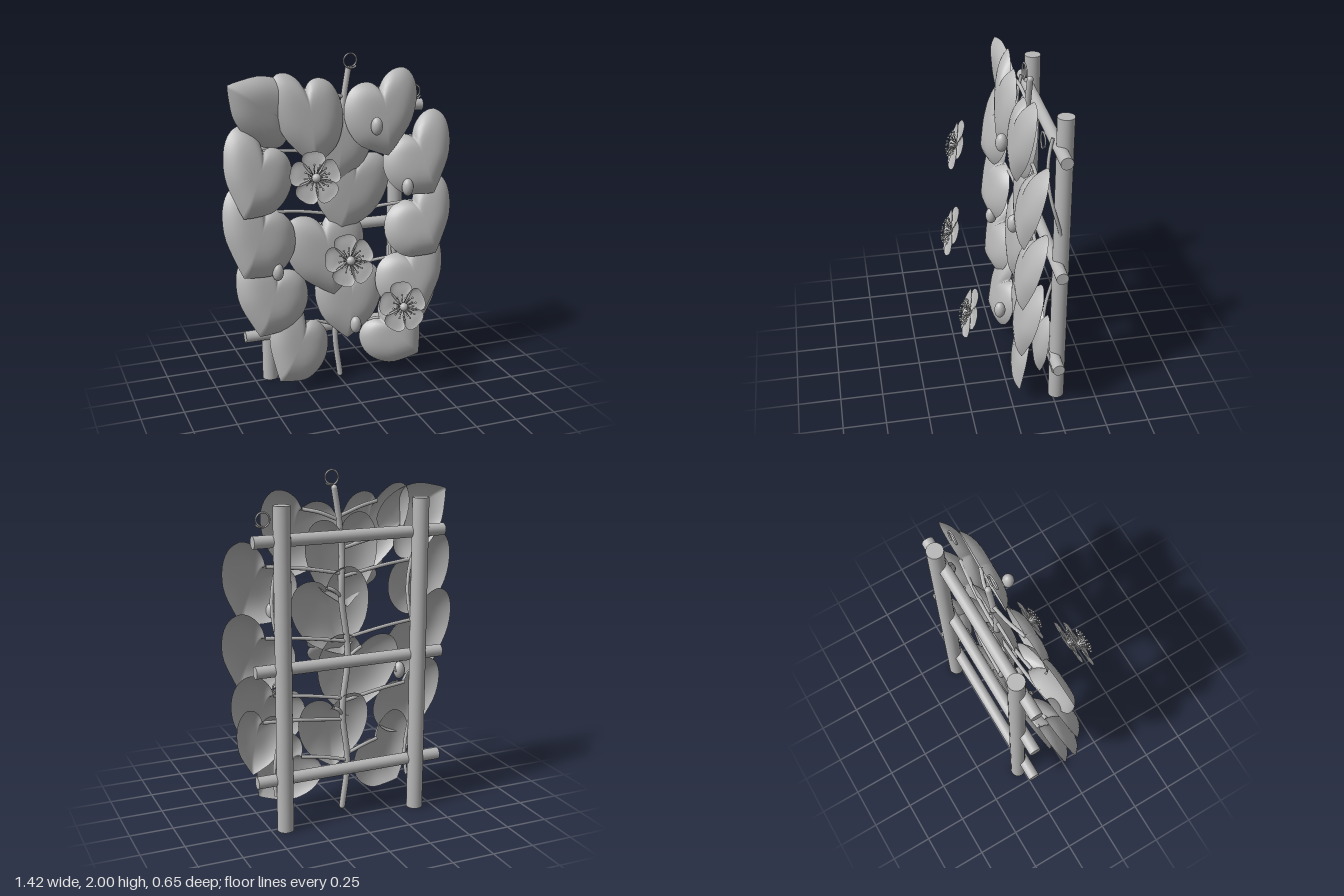
import * as THREE from 'three';

const grey = new THREE.MeshStandardMaterial({ color: 0xb8b8b8, side: THREE.DoubleSide });
grey.name = 'plain grey';
const V = (x, y, z) => new THREE.Vector3(x, y, z);

function add(parent, name, geometry) {
  const mesh = new THREE.Mesh(geometry, grey);
  mesh.name = name;
  parent.add(mesh);
  return mesh;
}

function tube(parent, name, points, radius, segments = 24) {
  return add(parent, name, new THREE.TubeGeometry(new THREE.CatmullRomCurve3(points), segments, radius, 8));
}

// Domed blade: rings shrink from a mirrored half outline to a centre on the midrib
function blade(half, centreY, width, length, height, bend) {
  const right = new THREE.SplineCurve(half.map(([x, y]) => new THREE.Vector2(x, y))).getPoints(26);
  const left = right.slice(1, -1).reverse().map(p => new THREE.Vector2(-p.x, p.y));
  const rim = [...right, ...left];
  const n = rim.length, rings = 9, pos = [0, centreY * length, height + bend(centreY)], index = [];
  for (let i = 1; i <= rings; i++) {
    const t = Math.sin(i / rings * Math.PI / 2);
    for (const p of rim) {
      const y = centreY + (p.y - centreY) * t;
      pos.push(p.x * t * width, y * length, height * (1 - t ** 4) + bend(y));
    }
  }
  for (let j = 0; j < n; j++) {
    const k = (j + 1) % n;
    index.push(0, 1 + k, 1 + j);
    for (let i = 0; i < rings - 1; i++) {
      const a = 1 + i * n + j, b = 1 + i * n + k;
      index.push(a, b, a + n, b, b + n, a + n);
    }
  }
  const g = new THREE.BufferGeometry();
  g.setAttribute('position', new THREE.Float32BufferAttribute(pos, 3));
  g.setIndex(index);
  g.computeVertexNormals();
  return g;
}

const heart = [[0, 0], [0.09, 0.12], [0.24, 0.18], [0.4, 0.12], [0.5, -0.1],
  [0.49, -0.38], [0.37, -0.68], [0.14, -0.91], [0, -1.02]];
const petalOutline = [[0, 0], [0.12, 0.12], [0.36, 0.4], [0.5, 0.68], [0.42, 0.9], [0.2, 1], [0, 1.01]];

// Heart leaf hung from its notch, with the tip given in space; skew lifts one lobe
function leaf(parent, notch, tip, width, height, skew) {
  const down = tip.clone().sub(notch);
  const length = down.length();
  const y = down.clone().normalize().negate();
  const x = y.clone().cross(V(0, 0, 1)).normalize();
  const z = x.clone().cross(y);
  const mesh = add(parent, 'leaf', blade(heart, -0.36, width, length, height, () => 0));
  mesh.applyMatrix4(new THREE.Matrix4().makeBasis(x, y, z));
  mesh.geometry.applyMatrix4(new THREE.Matrix4().set(1, 0, 0, 0, skew, 1, 0, 0, 0, 0, 1, 0, 0, 0, 0, 1));
  mesh.position.copy(notch);
}

function flower(parent, x, y, z, turn) {
  const f = new THREE.Group();
  f.name = 'flower';
  const petal = blade(petalOutline, 0.6, 0.138, 0.145, -0.012,
    v => 0.03 * v * v - 0.03 * v ** 4);
  for (let i = 0; i < 5; i++) {
    const p = add(f, 'petal', petal);
    p.rotation.z = turn + i * Math.PI * 2 / 5;
    p.position.z = (i % 2) * 0.003;
  }
  // stamens in two rings around the pistil
  const dot = new THREE.SphereGeometry(0.0065, 8, 6);
  for (let i = 0; i < 26; i++) {
    const a = i * Math.PI * 2 / 26, r = i % 2 ? 0.072 : 0.05, h = i % 2 ? 0.035 : 0.045;
    const end = V(Math.cos(a) * r, Math.sin(a) * r, h);
    tube(f, 'filament', [V(Math.cos(a) * 0.012, Math.sin(a) * 0.012, 0), end.clone().multiplyScalar(0.6), end], 0.002, 4);
    add(f, 'anther', dot).position.copy(end);
  }
  add(f, 'pistil', new THREE.SphereGeometry(0.026, 16, 12)).position.z = 0.018;
  f.position.set(x, y, z);
  f.rotation.x = -0.33;
  parent.add(f);
}

// Small open coil at the end of a shoot
function curl(parent, x, y, z, radius, start) {
  const points = [];
  for (let i = 0; i <= 20; i++) {
    const a = start + i * 0.36, r = radius * (1 + i * 0.012);
    points.push(V(x + Math.cos(a) * r, y + Math.sin(a) * r, z + i * 0.0007));
  }
  tube(parent, 'curledTendril', points, 0.005, 48);
}

export function createModel() {
  const model = new THREE.Group();
  model.name = 'trellisWithVine';

  // Trellis
  for (const x of [-0.4, 0.42]) {
    add(model, 'post', new THREE.CylinderGeometry(0.047, 0.047, 1.84, 24)).position.set(x, 0.92, -0.275);
    // thin shoot winding around the post
    const points = [];
    for (let i = 0; i <= 36; i++) {
      const a = (0.4 + i / 36 * 3) * Math.PI;
      points.push(V(x + Math.sin(a) * 0.045, a / Math.PI * 0.5, -0.233 - Math.cos(a) * 0.045));
    }
    tube(model, 'windingShoot', points, 0.01, 80);
  }
  for (const y of [0.3, 0.94, 1.65]) {
    const rail = add(model, 'rail', new THREE.CylinderGeometry(0.035, 0.035, 1.135, 20));
    rail.rotation.z = Math.PI / 2;
    rail.position.set(0.008, y, -0.25);
  }

  // Main stem
  const stem = new THREE.CatmullRomCurve3([V(0.01, 0.018, -0.14), V(-0.02, 0.3, -0.145), V(0.015, 0.62, -0.15),
    V(-0.02, 0.95, -0.145), V(0.025, 1.3, -0.155), V(0.02, 1.55, -0.15), V(0.045, 1.76, -0.155), V(0.07, 1.9, -0.16)]);
  add(model, 'stem', new THREE.TubeGeometry(stem, 70, 0.018, 12));
  for (const t of [0, 1]) add(model, 'stemEnd', new THREE.SphereGeometry(0.018, 12, 8)).position.copy(stem.getPointAt(t));
  curl(model, 0.073, 1.955, -0.135, 0.036, -1.7);
  curl(model, 0.48, 1.75, -0.15, 0.036, -1.5);
  curl(model, 0.4, 0.8, -0.15, 0.03, 1);

  // Leaves: notch x y z, tip x y z, width, dome height, skew
  const leaves = [
    [-0.32, 1.63, -0.14, -0.65, 1.855, -0.1, 0.38, 0.06, 0],
    [-0.21, 1.81, -0.11, -0.17, 1.38, -0.06, 0.41, 0.065, -0.28],
    [0.04, 1.67, -0.17, -0.03, 1.23, -0.12, 0.43, 0.055, 0],
    [0.24, 1.79, -0.11, 0.28, 1.41, -0.05, 0.46, 0.065, 0.22],
    [0.46, 1.49, -0.125, 0.57, 1.16, -0.035, 0.47, 0.07, 0.3],
    [-0.46, 1.47, -0.125, -0.6, 1.12, -0.03, 0.44, 0.07, -0.28],
    [0.12, 1.355, -0.17, 0, 0.95, -0.12, 0.47, 0.055, 0],
    [-0.46, 1.11, -0.125, -0.61, 0.77, -0.03, 0.49, 0.07, -0.32],
    [0.47, 1.09, -0.125, 0.59, 0.78, -0.03, 0.48, 0.07, 0.3],
    [-0.1, 0.99, -0.155, -0.04, 0.57, -0.105, 0.49, 0.06, -0.05],
    [-0.395, 0.73, -0.125, -0.52, 0.39, -0.04, 0.47, 0.07, -0.2],
    [0.425, 0.75, -0.125, 0.53, 0.41, -0.04, 0.47, 0.07, 0.25],
    [0.08, 0.65, -0.17, 0.05, 0.27, -0.11, 0.43, 0.055, 0],
    [-0.22, 0.4, -0.12, -0.405, 0.085, -0.035, 0.43, 0.065, -0.35],
    [0.26, 0.36, -0.12, 0.49, 0.125, -0.04, 0.42, 0.065, 0.15],
    [0.51, 0.62, -0.17, 0.56, 0.31, -0.14, 0.28, 0.05, 0.2],
  ];
  for (const [nx, ny, nz, tx, ty, tz, width, height, skew] of leaves) {
    const notch = V(nx, ny, nz);
    leaf(model, notch, V(tx, ty, tz), width, height, skew);
    // leaf stalk, slightly bowed between the stem and the notch
    const root = stem.getPointAt(Math.min(0.95, Math.max(0.05, (ny - 0.07) / 1.9)));
    const middle = root.clone().lerp(notch, 0.55).add(V(0, 0.01, -0.01));
    tube(model, 'leafStalk', [root, middle, notch], 0.011);
  }

  // Buds
  for (const [x, y, z] of [[0.18, 1.595, 0.015], [0.39, 1.21, -0.01], [-0.41, 0.775, -0.03], [0.06, 0.39, 0]]) {
    const bud = add(model, 'bud', new THREE.SphereGeometry(0.034, 18, 14));
    bud.scale.y = 1.55;
    bud.position.set(x, y, z);
  }

  // Flowers
  flower(model, -0.255, 1.375, 0.2, 0);
  flower(model, -0.08, 0.9, 0.265, 0.15);
  flower(model, 0.27, 0.555, 0.215, 0);
  return model;
}
